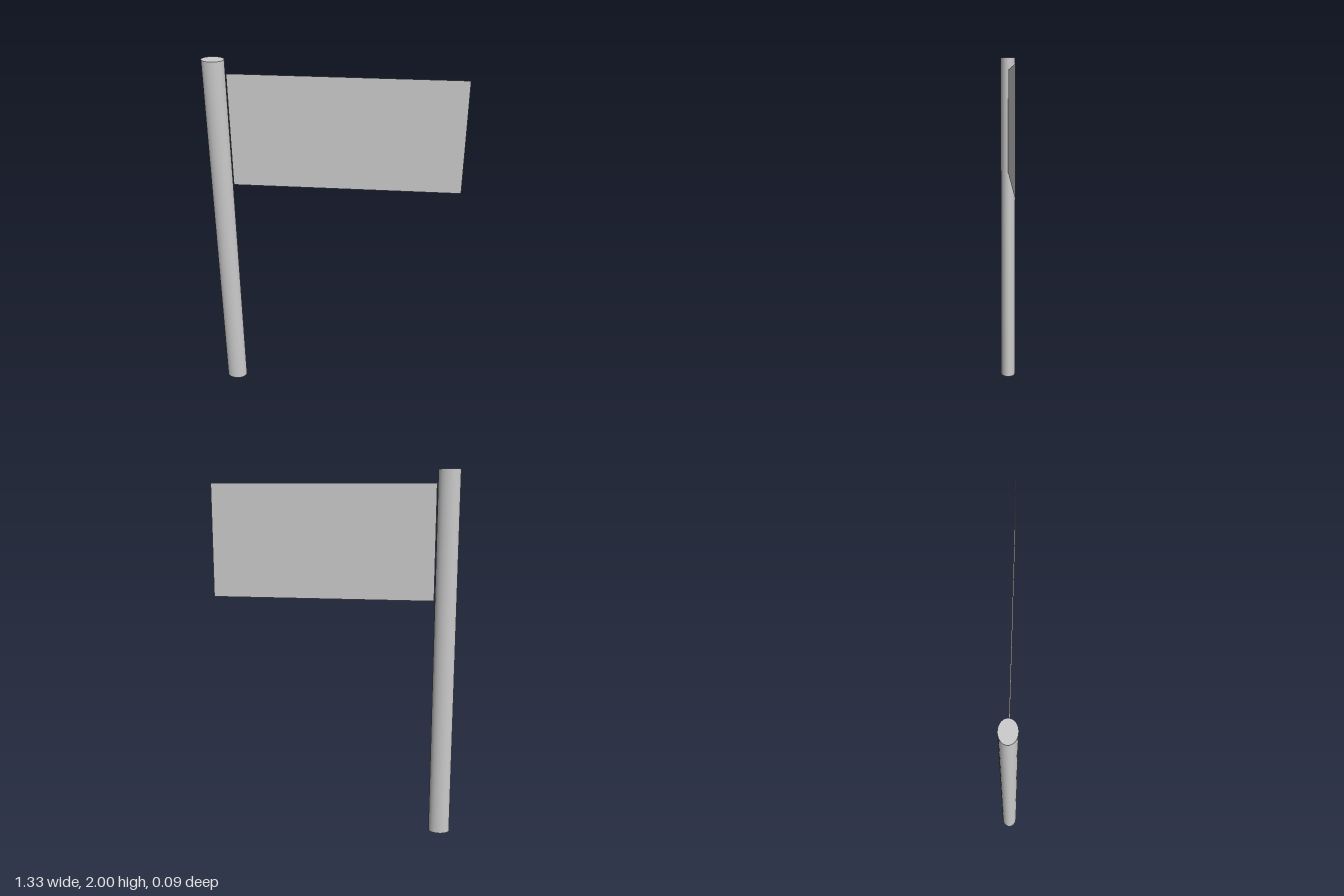
import * as THREE from 'three';

export function createModel() {
  const group = new THREE.Group();

  // Oval pole, wider in x than in z
  const pole = new THREE.Mesh(
    new THREE.CylinderGeometry(1, 1, 2, 48),
    new THREE.MeshStandardMaterial({ color: 0xcccccc })
  );
  pole.name = 'pole';
  pole.geometry.scale(0.058, 1, 0.044);
  pole.position.set(-0.607, 1, 0);
  group.add(pole);

  // Flat sheet flag beside the pole
  const left = -0.545, right = 0.664, bottom = 1.312, top = 1.928;
  const flag = new THREE.Mesh(
    new THREE.PlaneGeometry(right - left, top - bottom),
    new THREE.MeshStandardMaterial({ color: 0xcccccc, side: THREE.DoubleSide })
  );
  flag.name = 'flag';
  flag.position.set((left + right) / 2, (bottom + top) / 2, 0);
  group.add(flag);

  return group;
}
